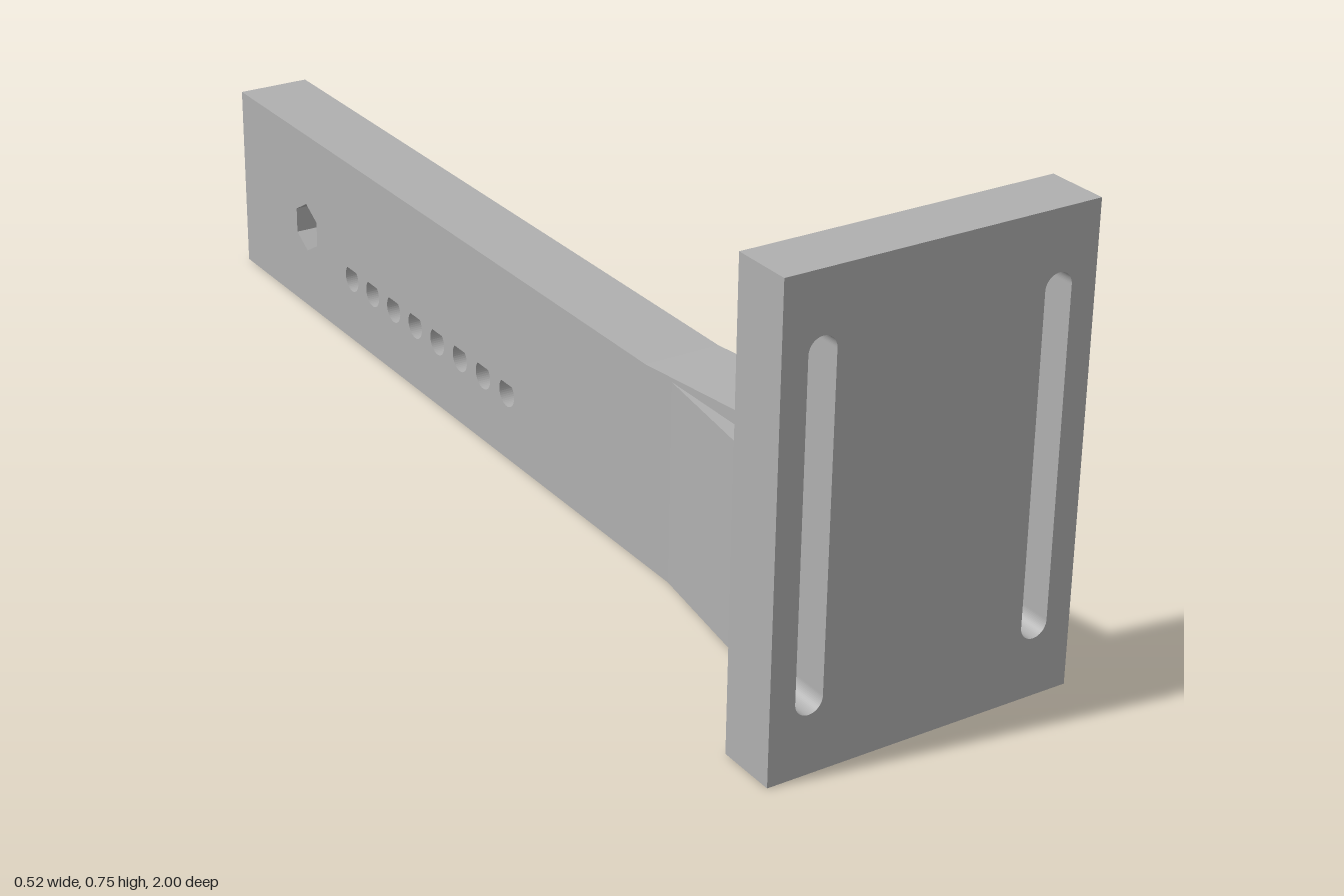
import * as THREE from 'three';

const grey = new THREE.MeshStandardMaterial({ color: 0xb0b0b0 });
grey.name = 'grey plastic';

const HALF = 0.066; // half thickness of the arm

function polygon(points, Type = THREE.Shape) {
  return new Type(points.map(([x, y]) => new THREE.Vector2(x, y)));
}

function extrude(shape, depth) {
  return new THREE.ExtrudeGeometry(shape, { depth, bevelEnabled: false, curveSegments: 16 });
}

// Side profile given as [z, y], extruded along x from x0 to x1
function sidePart(name, shape, x0, x1) {
  const geometry = extrude(shape, x1 - x0).rotateY(Math.PI / 2).translate(x0, 0, 0);
  const mesh = new THREE.Mesh(geometry, grey);
  mesh.name = name;
  return mesh;
}

const side = (points) => polygon(points.map(([z, y]) => [-z, y]));

// Round hole with a pointed top
function teardrop(z, y, r) {
  const path = new THREE.Path();
  path.moveTo(-z, y + r * Math.SQRT2);
  path.absarc(-z, y, r, Math.PI * 0.75, Math.PI * 2.25, false);
  path.closePath();
  return path;
}

function ring(z, y, r, sides) {
  const points = [];
  for (let i = 0; i < sides; i++) {
    const a = Math.PI / 2 + (i / sides) * Math.PI * 2;
    points.push([-z + r * Math.cos(a), y + r * Math.sin(a)]);
  }
  return polygon(points, THREE.Path);
}

// Arm outline with its row of pin holes and one bolt opening
function armShape(boltOpening) {
  const shape = side([[-1, 0], [0.9, 0], [0.9, 0.39], [0.39, 0.34], [-1, 0.34]]);
  for (let i = 0; i < 8; i++) shape.holes.push(teardrop(-0.025 - i * 0.0778, 0.12, 0.024));
  shape.holes.push(boltOpening);
  return shape;
}

export function createModel() {
  const model = new THREE.Group();
  model.name = 'slottedBracket';

  // Mounting plate with two vertical slots
  const plateShape = polygon([[-0.26, 0], [0.26, 0], [0.26, 0.755], [-0.26, 0.755]]);
  for (const x of [-0.195, 0.195]) {
    const r = 0.023;
    const slot = new THREE.Path();
    slot.absarc(x, 0.66 - r, r, 0, Math.PI, false);
    slot.absarc(x, 0.095 + r, r, Math.PI, Math.PI * 2, false);
    slot.closePath();
    plateShape.holes.push(slot);
  }
  const plate = new THREE.Mesh(extrude(plateShape, 0.1).translate(0, 0, 0.9), grey);
  plate.name = 'mountingPlate';
  model.add(plate);

  // Arm in two layers: hexagonal nut recess on one side, round bolt hole on the other
  const arm = new THREE.Group();
  arm.name = 'arm';
  arm.add(
    sidePart('armNutSide', armShape(ring(-0.745, 0.157, 0.046, 6)), -HALF, -0.01),
    sidePart('armBoltSide', armShape(ring(-0.745, 0.157, 0.024, 32)), -0.01, HALF),
  );
  model.add(arm);

  // Tapered gussets joining the arm to the plate
  for (const s of [-1, 1]) {
    const shape = polygon([[s * HALF, -0.46], [s * 0.13, -0.9], [s * HALF, -0.9]]);
    const gusset = new THREE.Mesh(extrude(shape, 0.34).rotateX(-Math.PI / 2), grey);
    gusset.name = s > 0 ? 'leftGusset' : 'rightGusset';
    model.add(gusset);
  }

  // Small stop block with a sloping top
  const block = side([[-0.575, 0], [-0.575, 0.115], [-0.782, 0.09], [-0.758, 0]]);
  model.add(sidePart('stopBlock', block, HALF, 0.155));

  return model;
}
